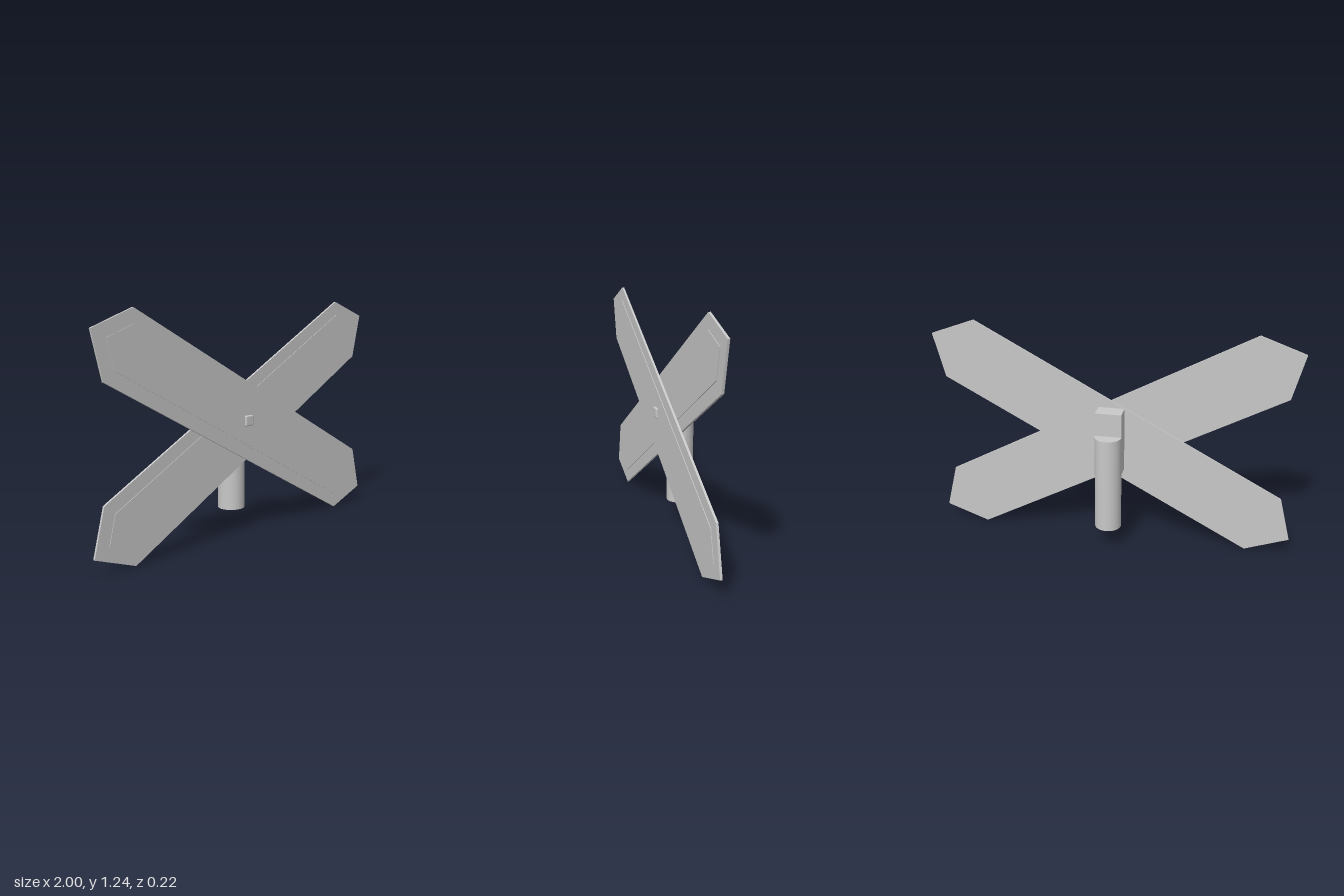
import * as THREE from 'three';
import { RoundedBoxGeometry } from 'three/addons/geometries/RoundedBoxGeometry.js';

const CENTER_Y = 0.62;

// Half of the board outline around its centre; the other half is its point reflection
const half = [[-0.76, 0.619], [-1, 0.532], [-0.938, 0.288]];
const outline = [...half, ...half.map(([x, y]) => [-x, -y])].map(([x, y]) => new THREE.Vector2(x, y));

// Move every edge of a counter-clockwise outline inwards by d
function inset(points, d) {
  const n = points.length;
  return points.map((p, i) => {
    const a = p.clone().sub(points[(i + n - 1) % n]).normalize();
    const b = points[(i + 1) % n].clone().sub(p).normalize();
    const na = new THREE.Vector2(-a.y, a.x);
    const nb = new THREE.Vector2(-b.y, b.x);
    const k = d / (1 + na.dot(nb));
    return p.clone().add(na.add(nb).multiplyScalar(k));
  });
}

function plate(points, depth) {
  return new THREE.ExtrudeGeometry(new THREE.Shape(points), { depth, bevelEnabled: false });
}

export function createModel() {
  const model = new THREE.Group();
  const grey = new THREE.MeshStandardMaterial({ color: 0xc8c8c8 });
  grey.name = 'light grey';

  function add(parent, name, geometry, x, y, z) {
    const mesh = new THREE.Mesh(geometry, grey);
    mesh.name = name;
    mesh.position.set(x, y, z);
    parent.add(mesh);
  }

  // Two crossed boards, each with a slightly raised face panel
  function addBoard(name, mirror, z) {
    const board = new THREE.Group();
    board.name = name;
    const points = mirror
      ? outline.map((p) => new THREE.Vector2(-p.x, p.y)).reverse()
      : outline;
    add(board, 'boardPlate', plate(points, 0.012), 0, 0, 0);
    add(board, 'raisedPanel', plate(inset(points, 0.07), 0.003), 0, 0, 0.012);
    board.position.set(0, CENTER_Y, z);
    model.add(board);
  }
  addBoard('frontBoard', false, 0.083);
  addBoard('rearBoard', true, 0.065);

  // Bolt head at the crossing
  add(model, 'bolt', new RoundedBoxGeometry(0.058, 0.058, 0.026, 2, 0.008), 0, 0.624, 0.096);

  // Mounting block and post stub behind the boards
  add(model, 'mountingBlock', new RoundedBoxGeometry(0.146, 0.36, 0.088, 2, 0.004), 0, 0.62, 0.011);
  add(model, 'post', new THREE.CylinderGeometry(0.073, 0.073, 0.542, 48), 0, 0.396, -0.035);

  return model;
}
